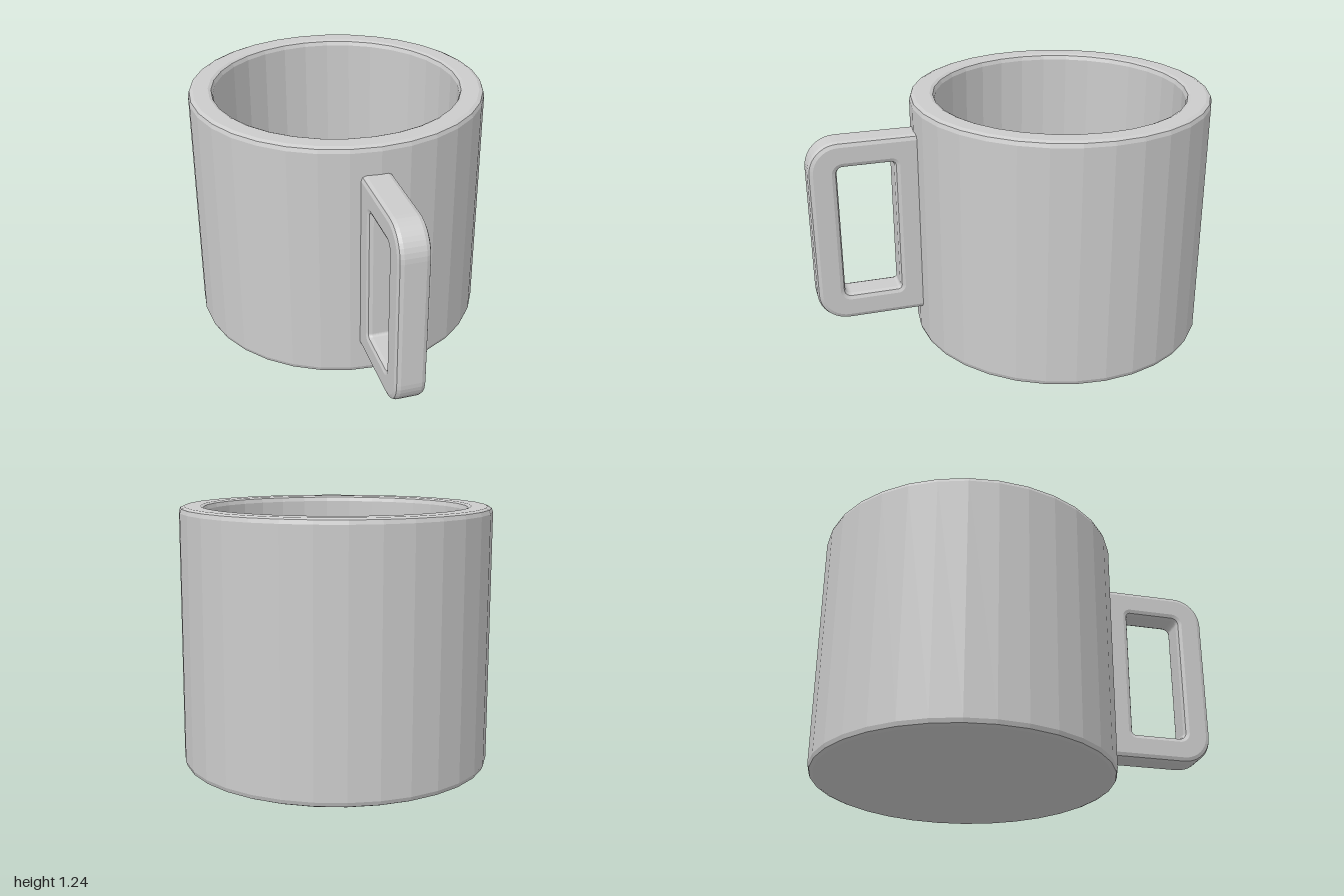
import * as THREE from 'three';

const material = new THREE.MeshStandardMaterial({ color: 0xcccccc, flatShading: true });

// Adds a rounded rectangle outline to a Shape or Path; rBack and rFront are corner radii.
function roundedRect(path, x0, x1, y0, y1, rBack, rFront) {
  path.moveTo(x0 + rBack, y0);
  path.lineTo(x1 - rFront, y0);
  path.absarc(x1 - rFront, y0 + rFront, rFront, -Math.PI / 2, 0);
  path.lineTo(x1, y1 - rFront);
  path.absarc(x1 - rFront, y1 - rFront, rFront, 0, Math.PI / 2);
  path.lineTo(x0 + rBack, y1);
  path.absarc(x0 + rBack, y1 - rBack, rBack, Math.PI / 2, Math.PI);
  path.lineTo(x0, y0 + rBack);
  path.absarc(x0 + rBack, y0 + rBack, rBack, Math.PI, Math.PI * 1.5);
  return path;
}

export function createModel() {
  const group = new THREE.Group();
  group.name = 'mug';

  // Cup: thick wall with softened rims and a solid floor
  const profile = [
    [0, 0], [0.715, 0], [0.733, 0.008], [0.74, 0.028],
    [0.74, 1.215], [0.733, 1.234], [0.715, 1.242],
    [0.64, 1.242], [0.625, 1.235], [0.617, 1.215],
    [0.617, 0.14], [0.6, 0.12], [0, 0.12],
  ].map(([r, y]) => new THREE.Vector2(r, y));
  const cup = new THREE.Mesh(new THREE.LatheGeometry(profile, 32), material);
  cup.name = 'cup';
  cup.position.z = -0.26;
  group.add(cup);

  // Handle: closed bevelled frame, its back bar sunk into the cup wall
  const frame = roundedRect(new THREE.Shape(), 0.42, 1, 0.16, 1.1, 0.03, 0.15);
  frame.holes.push(roundedRect(new THREE.Path(), 0.585, 0.862, 0.292, 0.97, 0.015, 0.03));
  const bevel = 0.025;
  const width = 0.15;
  const handleGeometry = new THREE.ExtrudeGeometry(frame, {
    depth: width - 2 * bevel,
    bevelThickness: bevel,
    bevelSize: bevel,
    bevelOffset: -bevel,
    bevelSegments: 2,
    curveSegments: 5,
  });
  handleGeometry.translate(0, 0, bevel - width / 2);
  handleGeometry.rotateY(-Math.PI / 2);
  const handle = new THREE.Mesh(handleGeometry, material);
  handle.name = 'handle';
  handle.position.x = -0.02;
  group.add(handle);

  return group;
}
